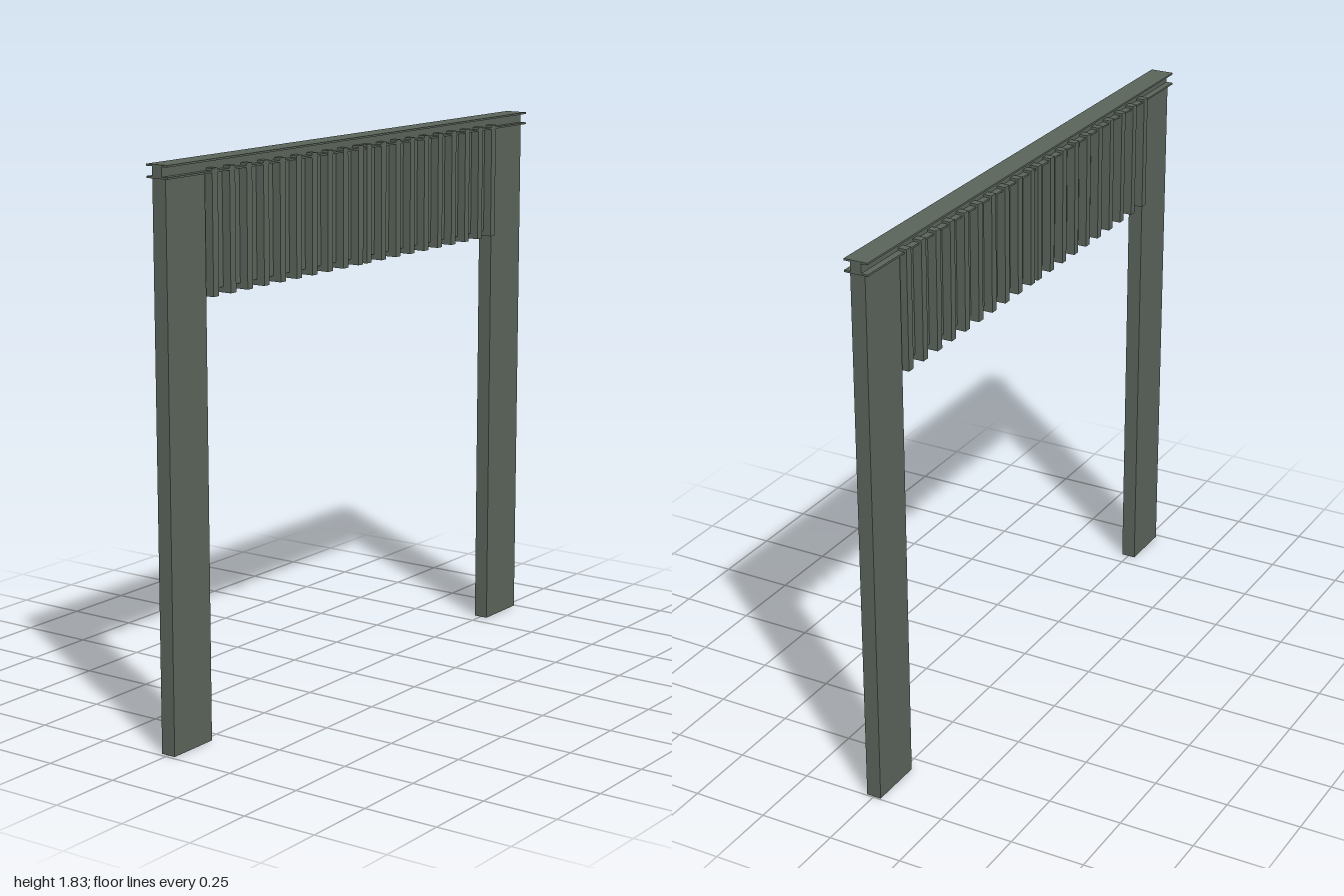
import * as THREE from 'three';

export function createModel() {
  const group = new THREE.Group();
  const paint = new THREE.MeshStandardMaterial({ color: 0x5b645b });
  paint.name = 'grey green paint';

  // Box given by its lower and upper limits on each axis
  function box(name, [x0, x1], [y0, y1], [z0, z1]) {
    const mesh = new THREE.Mesh(new THREE.BoxGeometry(x1 - x0, y1 - y0, z1 - z0), paint);
    mesh.position.set((x0 + x1) / 2, (y0 + y1) / 2, (z0 + z1) / 2);
    mesh.name = name;
    group.add(mesh);
  }

  // Legs
  box('rightLeg', [-0.987, -0.803], [0, 1.79], [-0.025, 0.025]);
  box('leftLeg', [0.805, 0.995], [0, 1.79], [-0.025, 0.025]);

  // Recessed panel between the legs
  box('panel', [-0.803, 0.805], [1.428, 1.79], [-0.015, 0.015]);

  // Two runs of ten ribs, standing proud on both faces
  for (const start of [-0.778, 0.027]) {
    for (let i = 0; i < 10; i++) {
      const x = start + i * 0.0842;
      box('rib', [x - 0.0135, x + 0.0135], [1.41, 1.8], [-0.044, 0.044]);
    }
  }

  // Top rail with an I section, extruded along x
  const s = new THREE.Shape();
  const half = 0.04, web = 0.018, h = 0.042, t = 0.006;
  [[-half, 0], [half, 0], [half, t], [web, t], [web, h - t], [half, h - t],
    [half, h], [-half, h], [-half, h - t], [-web, h - t], [-web, t], [-half, t]]
    .forEach(([x, y], i) => (i ? s.lineTo(x, y) : s.moveTo(x, y)));
  const rail = new THREE.Mesh(
    new THREE.ExtrudeGeometry(s, { depth: 2, bevelEnabled: false }).translate(0, 0, -1), paint);
  rail.rotation.y = Math.PI / 2;
  rail.position.set(0, 1.786, 0.003);
  rail.name = 'topRail';
  group.add(rail);

  return group;
}
